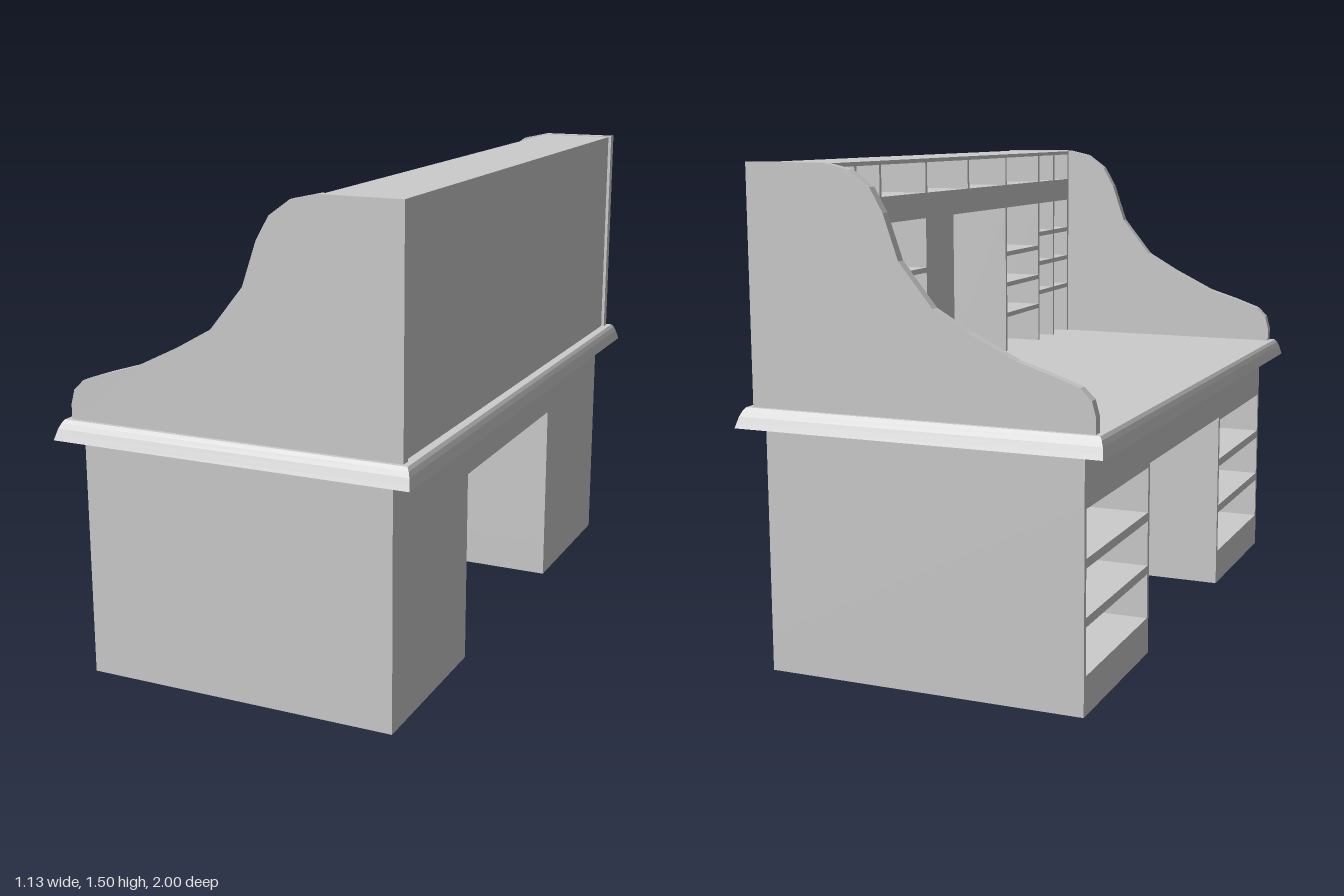
import * as THREE from 'three';

const material = new THREE.MeshStandardMaterial({ color: 0xcccccc, flatShading: true });

// Box given by its limits on each axis
function addBox(parent, name, [x0, x1], [y0, y1], [z0, z1]) {
  const mesh = new THREE.Mesh(new THREE.BoxGeometry(x1 - x0, y1 - y0, z1 - z0), material);
  mesh.position.set((x0 + x1) / 2, (y0 + y1) / 2, (z0 + z1) / 2);
  mesh.name = name;
  parent.add(mesh);
  return mesh;
}

function group(parent, name) {
  const g = new THREE.Group();
  g.name = name;
  parent.add(g);
  return g;
}

// Desktop with a rounded moulding: each row of the box follows [y, half x, half z]
function createDesktop() {
  const rows = [[0.742, 0.567, 1], [0.757, 0.564, 0.993], [0.775, 0.56, 0.985], [0.79, 0.554, 0.976], [0.8, 0.547, 0.968]];
  const geometry = new THREE.BoxGeometry(2, 1, 2, 1, rows.length - 1, 1);
  const p = geometry.attributes.position;
  for (let i = 0; i < p.count; i++) {
    const [y, hx, hz] = rows[Math.round((p.getY(i) + 0.5) * (rows.length - 1))];
    p.setXYZ(i, p.getX(i) * hx, y, p.getZ(i) * hz);
  }
  geometry.computeVertexNormals();
  const mesh = new THREE.Mesh(geometry, material);
  mesh.name = 'desktop';
  return mesh;
}

// Curved gallery end panel
function createSidePanel(z) {
  const points = [
    [-0.53, 0.8], [0.53, 0.8], [0.53, 1.505], [0.28, 1.505], [0.2, 1.487], [0.135, 1.44], [0.095, 1.37],
    [0.05, 1.24], [-0.053, 1.113], [-0.16, 1.052], [-0.3, 0.983], [-0.4, 0.952], [-0.485, 0.922],
    [-0.518, 0.89], [-0.53, 0.845],
  ].map(([x, y]) => new THREE.Vector2(x, y));
  const geometry = new THREE.ExtrudeGeometry(new THREE.Shape(points), { depth: 0.03, bevelEnabled: false });
  const mesh = new THREE.Mesh(geometry, material);
  mesh.position.z = z;
  mesh.name = 'curvedSidePanel';
  return mesh;
}

// Pedestal with three open drawer bays facing -x
function addPedestal(parent, side) {
  const g = group(parent, side > 0 ? 'leftPedestal' : 'rightPedestal');
  const span = (a, b) => (side > 0 ? [a, b] : [-b, -a]);
  const depth = [-0.495, 0.495];
  addBox(g, 'pedestalBase', depth, [0, 0.115], span(0.383, 0.945));
  addBox(g, 'innerWall', depth, [0.115, 0.6], span(0.383, 0.398));
  addBox(g, 'outerWall', depth, [0.115, 0.6], span(0.93, 0.945));
  addBox(g, 'pedestalBack', [0.475, 0.495], [0.115, 0.6], span(0.398, 0.93));
  for (const y of [0.255, 0.422]) {
    addBox(g, 'drawerShelf', [-0.495, 0.475], [y, y + 0.027], span(0.398, 0.93));
  }
  addBox(g, 'bayTop', [-0.495, 0.475], [0.589, 0.6], span(0.398, 0.93));
}

// Pigeonhole cabinet standing on the desktop
function addHutch(parent) {
  const g = group(parent, 'hutch');
  const front = 0.28, back = 0.485, t = 0.006;
  addBox(g, 'hutchBack', [back, 0.52], [0.8, 1.5], [-0.925, 0.925]);
  addBox(g, 'hutchTop', [front, 0.52], [1.49, 1.502], [-0.925, 0.925]);
  addBox(g, 'drawerRail', [front, back], [1.315, 1.395], [-0.925, 0.925]);
  // Dividers of the top row
  for (const z of [-0.919, -0.77, -0.62, -0.315, 0, 0.315, 0.62, 0.77, 0.919]) {
    addBox(g, 'topDivider', [front, back], [1.395, 1.49], [z - t, z + t]);
  }
  for (const side of [-1, 1]) {
    // Lower columns on each side of the open centre
    for (const z of [0.315, 0.62, 0.77, 0.919]) {
      addBox(g, 'columnDivider', [front, back], [0.8, 1.315], [side * z - t, side * z + t]);
    }
    const shelves = (z0, z1, heights) => {
      for (const y of heights) {
        addBox(g, 'pigeonholeShelf', [front, back], [y - 0.008, y + 0.008], side > 0 ? [z0, z1] : [-z1, -z0]);
      }
    };
    shelves(0.321, 0.614, [1.15, 1.04, 0.93]);
    shelves(0.626, 0.764, [1.2, 1.09, 0.98]);
    shelves(0.776, 0.913, [1.2, 1.09, 0.98]);
  }
}

export function createModel() {
  const desk = new THREE.Group();
  desk.name = 'desk';
  for (const side of [-1, 1]) addPedestal(desk, side);
  // Apron bridging the pedestals
  addBox(desk, 'apron', [-0.495, 0.495], [0.6, 0.742], [-0.945, 0.945]);
  desk.add(createDesktop());
  desk.add(createSidePanel(-0.955), createSidePanel(0.925));
  addHutch(desk);
  return desk;
}
